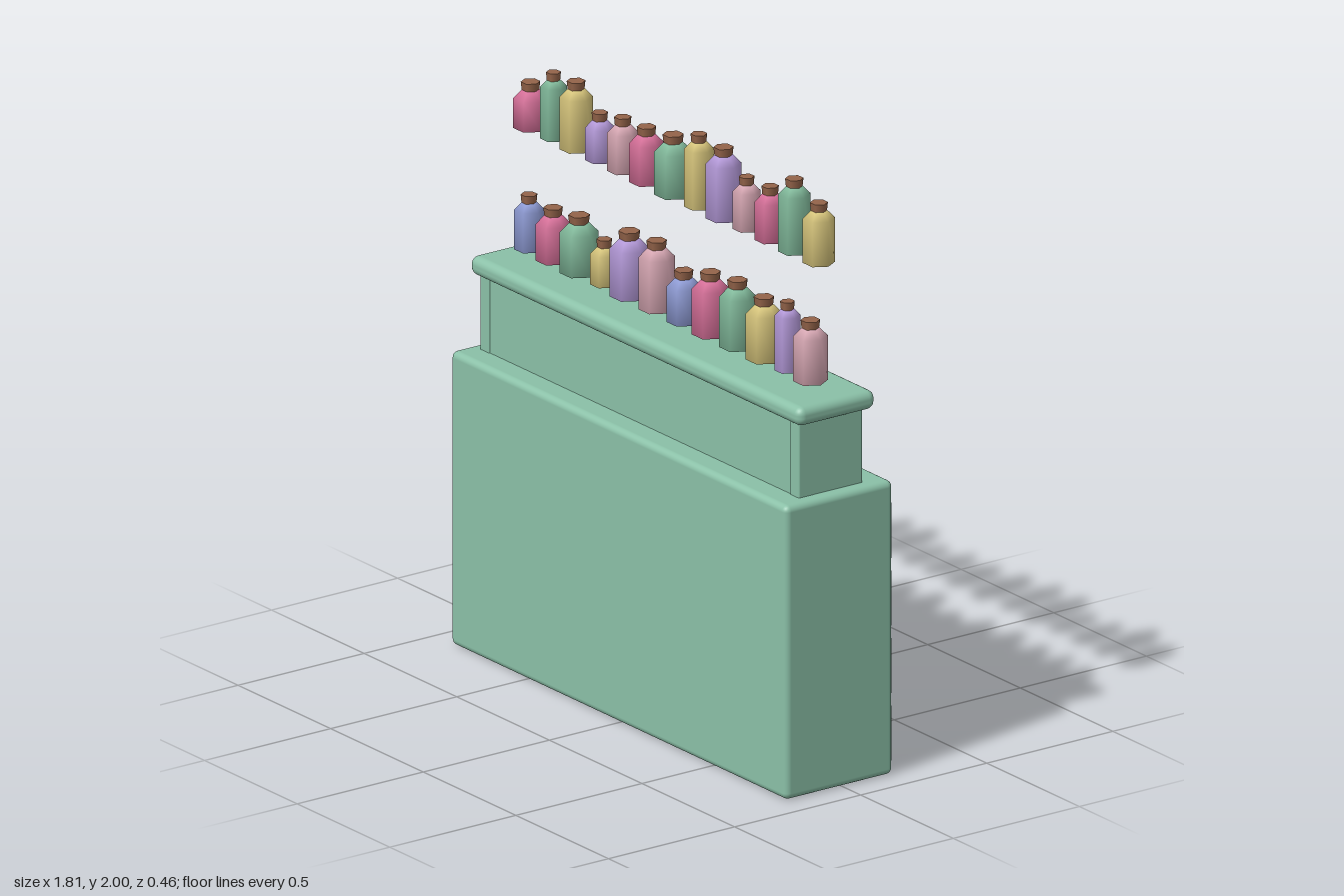
import * as THREE from 'three';
import { RoundedBoxGeometry } from 'three/addons/geometries/RoundedBoxGeometry.js';

const mat = (name, color) => {
  const m = new THREE.MeshStandardMaterial({ color });
  m.name = name;
  return m;
};

export function createModel() {
  const root = new THREE.Group();
  root.name = 'apothecaryCounter';

  const paint = mat('cabinet green', 0x8ac0a7);
  const cork = mat('cork brown', 0x94644a);
  const paper = mat('label grey', 0xab9f9b);
  const brass = mat('knob brass', 0x8f7347);
  const glass = {
    g: mat('glass green', 0x82bb9c),
    p: mat('glass pink', 0xd8709a),
    y: mat('glass yellow', 0xd8c67c),
    v: mat('glass violet', 0xb59ada),
    r: mat('glass rose', 0xd8a8b4),
    b: mat('glass blue', 0x8f9cd6),
  };

  const add = (parent, name, geometry, material, x, y, z) => {
    const mesh = new THREE.Mesh(geometry, material);
    mesh.name = name;
    mesh.position.set(x, y, z);
    parent.add(mesh);
    return mesh;
  };
  const rounded = (w, h, d, r) => new RoundedBoxGeometry(w, h, d, 3, r);

  // Main cabinet, with the open niche and worktop above it
  add(root, 'cabinetBody', rounded(1.814, 1.0, 0.428, 0.022), paint, 0, 0.5, 0.014);
  for (const s of [-1, 1]) {
    add(root, 'nicheSide', rounded(0.05, 0.29, 0.253, 0.006), paint, s * 0.836, 1.125, 0.0165);
  }
  add(root, 'nicheFrontPanel', new THREE.BoxGeometry(1.64, 0.29, 0.035), paint, 0, 1.125, 0.122);
  add(root, 'worktop', rounded(1.786, 0.065, 0.308, 0.028), paint, 0, 1.2825, 0.011);

  // Drawers on the back, each with a label plate and a knob
  const drawerGeo = rounded(0.262, 0.195, 0.025, 0.005);
  const frameGeo = new THREE.BoxGeometry(0.115, 0.074, 0.006);
  const labelGeo = new THREE.BoxGeometry(0.105, 0.064, 0.003);
  const knobGeo = new THREE.SphereGeometry(0.011, 10, 8);
  for (let row = 0; row < 4; row++) {
    for (let col = 0; col < 6; col++) {
      const drawer = new THREE.Group();
      drawer.name = 'drawer';
      drawer.position.set(-0.76 + col * 0.301, 0.1275 + row * 0.23, -0.2025);
      add(drawer, 'drawerFront', drawerGeo, paint, 0, 0, 0);
      add(drawer, 'labelFrame', frameGeo, paint, 0, 0.04, -0.013);
      add(drawer, 'label', labelGeo, paper, 0, 0.04, -0.0158);
      add(drawer, 'knob', knobGeo, brass, 0, -0.0425, -0.0145);
      root.add(drawer);
    }
  }

  // Six-sided bottle with sloping shoulder and a cork
  const addBottle = (parent, [color, x, r, h], y) => {
    const bottle = new THREE.Group();
    bottle.name = 'bottle';
    bottle.position.set(x, y, 0.01);
    const neck = h - 0.027;
    const shoulder = neck - r * 0.5;
    const profile = [[0, 0], [r, 0], [r, shoulder], [r * 0.52, neck], [0, neck]]
      .map(([a, b]) => new THREE.Vector2(a, b));
    add(bottle, 'glassBody', new THREE.LatheGeometry(profile, 6, Math.PI / 2), glass[color], 0, 0, 0);
    add(bottle, 'cork', new THREE.CylinderGeometry(r * 0.56, r * 0.5, 0.03, 6, 1, false, Math.PI / 2),
      cork, 0, h - 0.015, 0);
    parent.add(bottle);
  };

  // Rows of bottles: colour, x, radius, height
  const rows = [
    ['lowerBottleRow', 1.337, [
      ['b', -0.777, 0.048, 0.186], ['p', -0.647, 0.056, 0.180], ['g', -0.507, 0.063, 0.196],
      ['y', -0.371, 0.045, 0.154], ['v', -0.236, 0.063, 0.222], ['r', -0.088, 0.059, 0.233],
      ['b', 0.058, 0.056, 0.175], ['p', 0.202, 0.060, 0.212], ['g', 0.348, 0.059, 0.228],
      ['y', 0.491, 0.059, 0.212], ['v', 0.618, 0.042, 0.234], ['r', 0.742, 0.056, 0.207]]],
    ['upperBottleRow', 1.753, [
      ['p', -0.769, 0.056, 0.156], ['g', -0.645, 0.043, 0.225], ['y', -0.523, 0.054, 0.231],
      ['v', -0.395, 0.047, 0.162], ['r', -0.271, 0.050, 0.183], ['p', -0.143, 0.056, 0.188],
      ['g', 0.001, 0.061, 0.204], ['y', 0.140, 0.048, 0.247], ['v', 0.273, 0.058, 0.241],
      ['r', 0.398, 0.045, 0.178], ['p', 0.525, 0.050, 0.183], ['g', 0.655, 0.053, 0.247],
      ['y', 0.788, 0.052, 0.204]]],
  ];
  for (const [name, y, bottles] of rows) {
    const group = new THREE.Group();
    group.name = name;
    bottles.forEach((b) => addBottle(group, b, y));
    root.add(group);
  }

  return root;
}
